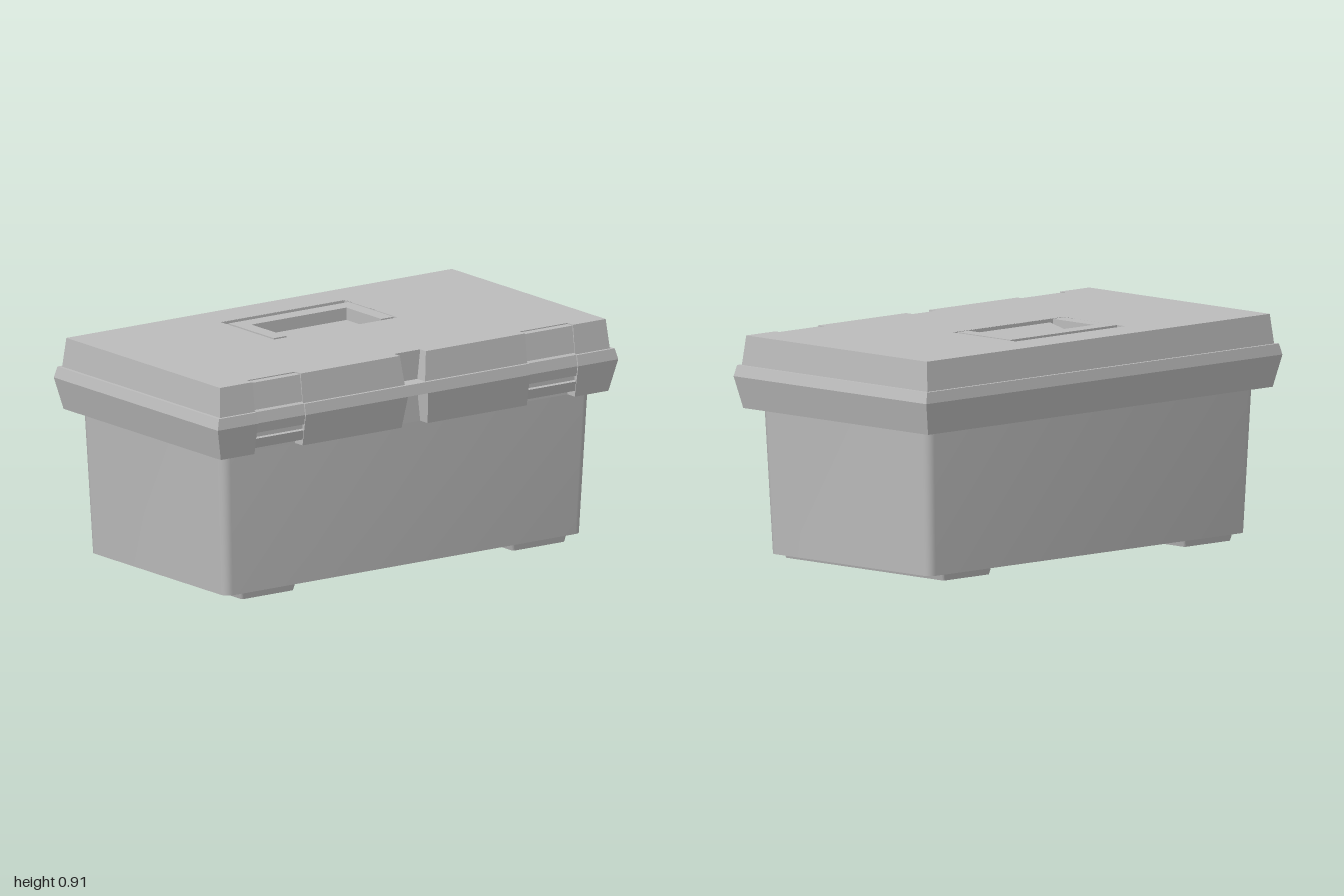
import * as THREE from 'three';
import { toCreasedNormals } from 'three/addons/utils/BufferGeometryUtils.js';

const grey = new THREE.MeshStandardMaterial({ color: 0xbcbcbc, side: THREE.DoubleSide });
grey.name = 'grey plastic';

// Stacks horizontal outlines ({ y, pts: [[x, z], ...] }, anticlockwise from above) into a closed solid.
// An optional hole outline is left open in the top face.
function loft(levels, hole = []) {
  const pos = [];
  const put = (p, y) => pos.push(p[0], y, p[1]);
  for (let k = 0; k + 1 < levels.length; k++) {
    const a = levels[k], b = levels[k + 1], n = a.pts.length;
    for (let i = 0; i < n; i++) {
      const j = (i + 1) % n;
      put(a.pts[i], a.y); put(a.pts[j], a.y); put(b.pts[j], b.y);
      put(a.pts[i], a.y); put(b.pts[j], b.y); put(b.pts[i], b.y);
    }
  }
  const cap = (level, inner, flip) => {
    const to2d = (list) => list.map((p) => new THREE.Vector2(p[0], -p[1]));
    const all = [...level.pts, ...inner];
    const faces = THREE.ShapeUtils.triangulateShape(to2d(level.pts), inner.length ? [to2d(inner)] : []);
    for (const f of faces) for (const i of flip ? [f[0], f[2], f[1]] : f) put(all[i], level.y);
  };
  cap(levels[0], [], true);
  cap(levels[levels.length - 1], hole, false);
  const geo = new THREE.BufferGeometry();
  geo.setAttribute('position', new THREE.Float32BufferAttribute(pos, 3));
  geo.computeVertexNormals();
  return geo;
}

// Rounded rectangle outline
function roundedOutline(hx, hz, r) {
  const pts = [];
  [[1, 1], [1, -1], [-1, -1], [-1, 1]].forEach(([sx, sz], q) => {
    for (let i = 0; i <= 6; i++) {
      const t = -Math.PI / 2 + (q + i / 6) * Math.PI / 2;
      pts.push([sx * (hx - r) + r * Math.cos(t), sz * (hz - r) - r * Math.sin(t)]);
    }
  });
  return pts;
}

// Rectangle with two latch pockets and a centre notch cut into its +x side
const CUT = 0.48, LATCH_IN = 0.56, LATCH_OUT = 0.8;
function cutOutline(hx, hz, notch, notchX) {
  const half = [[hx, hz], [hx, LATCH_OUT], [CUT, LATCH_OUT], [CUT, LATCH_IN], [hx, LATCH_IN], [hx, notch], [notchX, notch]];
  const mirrored = half.map(([x, z]) => [x, -z]).reverse();
  return [...half, ...mirrored, [-hx, -hz], [-hx, hz]];
}

// Solid with an (x, y) side profile running along z from z0 to z1
function bar(profile, z0, z1) {
  const shape = new THREE.Shape(profile.map(([x, y]) => new THREE.Vector2(x, y)));
  return new THREE.ExtrudeGeometry(shape, { depth: z1 - z0, bevelEnabled: false }).translate(0, 0, z0);
}

function box(x0, x1, y0, y1, z0, z1) {
  return new THREE.BoxGeometry(x1 - x0, y1 - y0, z1 - z0)
    .translate((x0 + x1) / 2, (y0 + y1) / 2, (z0 + z1) / 2);
}

export function createModel() {
  const model = new THREE.Group();
  model.name = 'toolbox';
  const add = (name, geo, parent = model) => {
    const mesh = new THREE.Mesh(geo, grey);
    mesh.name = name;
    parent.add(mesh);
    return mesh;
  };

  // Tapered tub with rounded upright corners
  add('body', toCreasedNormals(loft([
    { y: 0.025, pts: roundedOutline(0.46, 0.89, 0.035) },
    { y: 0.62, pts: roundedOutline(0.478, 0.922, 0.04) },
  ]), 0.5));

  // Feet across both ends
  for (const s of [1, -1]) {
    add('foot', loft([
      { y: 0, pts: roundedOutline(0.455, 0.13, 0.01) },
      { y: 0.03, pts: roundedOutline(0.46, 0.138, 0.01) },
    ])).position.z = s * 0.677;
  }

  // Overhanging rim
  add('rim', loft([
    { y: 0.615, pts: cutOutline(0.53, 0.968, 0.065, CUT) },
    { y: 0.745, pts: cutOutline(0.553, 1, 0.05, CUT) },
    { y: 0.745, pts: cutOutline(0.553, 1, 0.05, 0.553) },
    { y: 0.79, pts: cutOutline(0.545, 0.988, 0.05, 0.545) },
  ]));

  // Lid, open where the handle recess sits
  const recess = [[0, 0.31], [0, -0.31], [-0.36, -0.31], [-0.36, 0.31]];
  add('lid', loft([
    { y: 0.785, pts: cutOutline(0.533, 0.974, 0.05, CUT) },
    { y: 0.91, pts: cutOutline(0.518, 0.963, 0.065, CUT) },
  ], recess));

  // Handle recess, handle frame and finger ramp
  const handle = new THREE.Group();
  handle.name = 'handle';
  model.add(handle);
  const floor = 0.86, top = 0.911;
  add('recessFloor', box(-0.36, 0, floor - 0.01, floor, -0.31, 0.31), handle);
  for (const s of [1, -1]) {
    add('recessEnd', box(-0.36, 0, floor, 0.909, -0.001, 0.001), handle).position.z = s * 0.311;
    add('handleArm', box(-0.32, -0.015, floor, top, -0.031, 0.031), handle).position.z = s * 0.268;
  }
  add('recessBack', box(-0.362, -0.36, floor, 0.909, -0.31, 0.31), handle);
  add('recessFront', box(0, 0.002, floor, 0.909, -0.31, 0.31), handle);
  add('recessLedge', box(-0.36, -0.32, floor, 0.897, -0.31, 0.31), handle);
  add('grip', box(-0.32, -0.25, floor, top, -0.237, 0.237), handle);
  add('fingerRamp', bar([[-0.15, floor], [0, floor], [0, 0.895]], -0.237, 0.237), handle);

  // Latches set into the pockets
  const latchProfile = [
    [0.47, 0.64], [0.532, 0.64], [0.54, 0.68], [0.531, 0.685], [0.531, 0.705], [0.543, 0.705],
    [0.549, 0.745], [0.54, 0.79], [0.53, 0.797], [0.514, 0.906], [0.47, 0.906],
  ];
  for (const s of [1, -1]) {
    add('latch', bar(latchProfile, -0.119, 0.119)).position.z = s * (LATCH_IN + LATCH_OUT) / 2;
  }
  return model;
}
